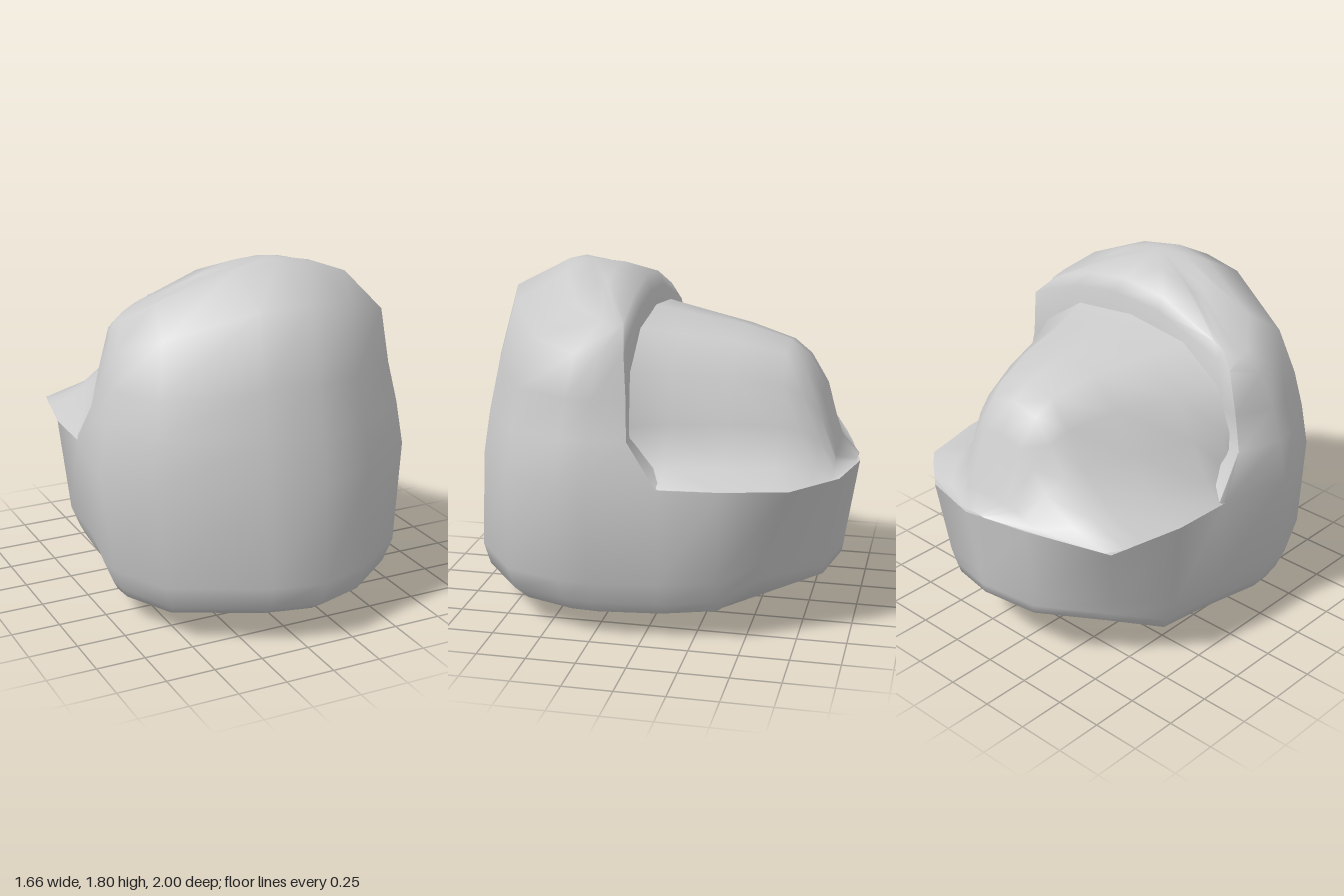
import * as THREE from 'three';
import { toCreasedNormals } from 'three/addons/utils/BufferGeometryUtils.js';

// Skin equal-length rows of points; closed rows also get a bottom and a top cap.
function skin(rows, closed, bottom, top) {
  const n = rows[0].length, index = [], pts = rows.flat();
  const same = (a, b) => pts[a].every((v, k) => Math.abs(v - pts[b][k]) < 1e-6);
  const tri = (a, b, c) => {
    if (!same(a, b) && !same(b, c) && !same(a, c)) index.push(a, b, c);
  };
  for (let r = 0; r < rows.length - 1; r++) {
    for (let i = 0; i < (closed ? n : n - 1); i++) {
      const a = r * n + i, b = r * n + (i + 1) % n;
      tri(a, b, b + n);
      tri(a, b + n, a + n);
    }
  }
  if (closed) {
    const last = (rows.length - 1) * n, c = pts.length;
    pts.push(bottom, top);
    for (let i = 0; i < n; i++) {
      const j = (i + 1) % n;
      tri(j, i, c);
      tri(last + i, last + j, c + 1);
    }
  }
  const g = new THREE.BufferGeometry();
  g.setAttribute('position', new THREE.Float32BufferAttribute(pts.flat(), 3));
  g.setIndex(index);
  g.computeVertexNormals();
  return g;
}

export function createModel() {
  const group = new THREE.Group();
  const material = new THREE.MeshStandardMaterial({ color: 0xcccccc, side: THREE.DoubleSide });

  // Plan outline (x, z) at the widest level, counter-clockwise from the back.
  const plan = [
    [0.12, -1], [-0.22, -0.93], [-0.66, -0.8], [-0.74, -0.4], [-0.75, -0.08],
    [-0.83, 0.3], [-0.82, 0.42], [-0.67, 0.71], [-0.18, 0.94], [0.1, 1],
    [0.38, 0.92], [0.71, 0.69], [0.82, 0.4], [0.83, 0.25], [0.79, -0.1],
    [0.76, -0.4], [0.68, -0.72], [0.43, -0.93],
  ];
  const backCorners = [2, 16];

  // Levels: height, extra height at back, width, front depth, back depth,
  // sideways drop, sideways shift, and the plane where the front wall is cut off.
  const levels = [
    [0.03, 0.04, 0.5, 0.48, 0.47, -0.1, 0, -2],
    [0.14, 0.19, 0.83, 0.88, 0.92, 0, 0, -2],
    [0.2, 0.18, 0.87, 0.97, 0.93, 0, 0, -2],
    [0.32, 0.13, 0.93, 1, 0.94, 0, 0, -2],
    [0.83, 0, 1, 0.965, 1, 0, 0, -2],
    [0.83, 0, 1, 0.965, 1, 0, 0, -0.12],
    [1.05, 0, 0.96, 0.93, 1, 0, 0, 0.05],
    [1.28, 0, 0.91, 0.88, 1, 0.08, 0, 0.06],
    [1.65, 0, 0.87, 0.77, 1, 0.42, 0.025, 0.07],
    [1.79, 0, 0.755, 0.5, 1, 0.49, 0, 0.1],
  ];
  const rings = levels.map(([y, lift, sx, sf, sb, drop, shift, cut]) => plan.map(([px, pz], i) => {
    // The two back corners tuck in below the rim.
    const tuck = y > 0.1 && y < 0.5 && backCorners.includes(i) ? 0.83 : 1;
    const x = px * sx * tuck + shift;
    const z = Math.max(pz * tuck * (pz > 0 ? sf : sb), cut);
    const back = Math.min(pz, 0);
    const crownFall = y > 1.7 ? 0.25 * Math.max(0, 0.38 - z) : 0;
    return [x, y - drop * (x - 0.06) ** 2 + lift * back * back - crownFall, z];
  }));
  // Extra ring that rounds the crown.
  const apex = [0.1, 1.8, 0.38];
  rings.push(rings.at(-1).map((p) => p.map((v, k) => apex[k] + (v - apex[k]) * (k === 1 ? 0.36 : 0.5))));
  const shell = new THREE.Mesh(
    toCreasedNormals(skin(rings, true, [0.1, 0, 0], apex), 1.2), material);
  shell.name = 'outerShell';
  group.add(shell);

  // Rounded mound behind the wall: z, left and right foot, body half width, ridge height.
  const ribs = [
    [0.08, -0.7, 0.72, 0.68, 1.56], [0.03, -0.72, 0.74, 0.65, 1.55],
    [-0.12, -0.75, 0.79, 0.56, 1.525],
    [-0.4, -0.74, 0.76, 0.42, 1.485], [-0.63, -0.695, 0.7, 0.32, 1.42],
    [-0.72, -0.68, 0.68, 0.28, 1.35], [-0.81, -0.63, 0.58, 0.24, 1.2],
    [-0.89, -0.36, 0.48, 0.2, 0.9], [-0.985, 0.05, 0.2, 0.05, 0.84],
  ];
  // Flank profiles: share of the flare, share of the body width, share of the height.
  const gentle = [[1, 1, 0], [0.55, 1, 0.14], [0.12, 1, 0.42], [0, 0.86, 0.72], [0, 0.52, 0.94]];
  const steep = [[1, 1, 0], [0.42, 1, 0.1], [0, 1, 0.38], [0, 0.88, 0.72], [0, 0.53, 0.94]];
  const rows = ribs.map(([z, left, right, body, top]) => {
    const centre = z < -0.3 ? 0.05 : 0.02;
    const side = (flank, foot, sign) => flank.map(([f, b, t]) => {
      const x = centre + sign * body * b;
      return [x + f * (foot - x), 0.832 + t * (top - 0.832), z];
    });
    return [...side(gentle, left, -1), [centre, top, z], ...side(steep, right, 1).reverse()];
  });
  const mound = new THREE.Mesh(skin(rows, false), material);
  mound.name = 'innerMound';
  group.add(mound);

  return group;
}
